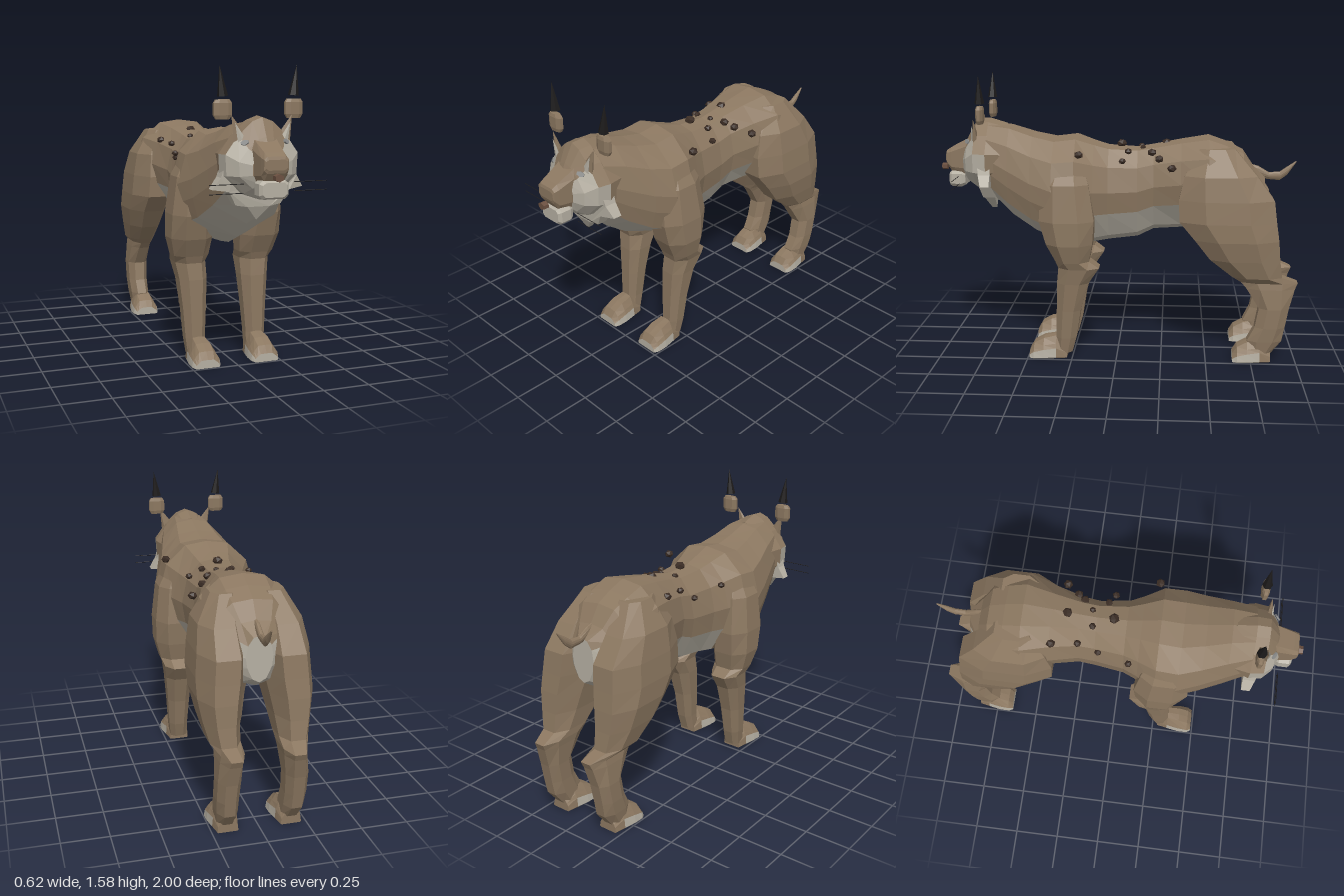
import * as THREE from 'three';

const material = (name, color) => {
  const m = new THREE.MeshStandardMaterial({ color });
  m.name = name;
  return m;
};

// Half cross-sections from top centre to bottom centre: [share of half width, share of height]
const BODY = [[0, 1], [0.45, 0.97], [0.85, 0.8], [1, 0.55], [0.9, 0.33], [0.5, 0.08], [0, 0]];
const CHEST = [[0, 1], [0.45, 0.97], [0.85, 0.8], [1, 0.55], [0.98, 0.38], [0.87, 0.2], [0, 0]];
const SKULL = [[0, 1], [0.28, 0.95], [0.65, 0.79], [1, 0.56], [0.97, 0.3], [0.5, 0.08], [0, 0]];
const BLOCK = [[0, 1], [0.75, 1], [1, 0.82], [1, 0.5], [1, 0.2], [0.75, 0], [0, 0]];
const PAW = [[0, 1], [0.5, 0.97], [0.78, 0.65], [0.93, 0.45], [1, 0.06], [0.9, 0], [0, 0]];

// Ring in the xy plane: [z, top, bottom, halfWidth], wound for lofting toward +z
const uprightRing = ([z, top, bottom, w], profile = BODY, cx = 0) => {
  const at = (u, v) => [cx + u * w, bottom + v * (top - bottom), z];
  return [...profile.map(([u, v]) => at(-u, v)), ...profile.slice(1, 6).reverse().map(([u, v]) => at(u, v))];
};

// Horizontal octagon: [y, frontZ, backZ, innerX, outerX], wound for lofting downward
const OCTAGON = [[1, -0.45], [1, 0.45], [0.5, 1], [-0.5, 1], [-1, 0.45], [-1, -0.45], [-0.5, -1], [0.5, -1]];
const legRing = ([y, zf, zb, xi, xo], side) => OCTAGON.map(([u, v]) => [
  side * (xi + xo) / 2 + u * (xo - xi) / 2, y, (zf + zb) / 2 + v * (zf - zb) / 2]);

// Faceted skin over rings; pick(ringIndex, band) chooses a material slot, -1 and rings-1 are the caps
function loft(name, rings, materials, pick = () => 0) {
  const buckets = materials.map(() => []);
  const n = rings[0].length, last = rings.length - 1;
  for (let i = 0; i < last; i++) {
    for (let j = 0; j < n; j++) {
      const k = (j + 1) % n, a = rings[i], b = rings[i + 1];
      buckets[pick(i, Math.min(j, n - 1 - j))].push(...a[j], ...a[k], ...b[k], ...a[j], ...b[k], ...b[j]);
    }
  }
  for (let j = 1; j < n - 1; j++) {
    const s = rings[0], e = rings[last];
    buckets[pick(-1, 0)].push(...s[0], ...s[j + 1], ...s[j]);
    buckets[pick(last, 0)].push(...e[0], ...e[j], ...e[j + 1]);
  }
  const g = new THREE.BufferGeometry();
  g.setAttribute('position', new THREE.Float32BufferAttribute(buckets.flat(), 3));
  let start = 0;
  buckets.forEach((b, i) => {
    g.addGroup(start, b.length / 3, i);
    start += b.length / 3;
  });
  g.computeVertexNormals();
  const mesh = new THREE.Mesh(g, materials);
  mesh.name = name;
  return mesh;
}

function part(name, geometry, mat, x, y, z) {
  const g = geometry.index ? geometry.toNonIndexed() : geometry;
  g.computeVertexNormals();
  const mesh = new THREE.Mesh(g, mat);
  mesh.name = name;
  mesh.position.set(x, y, z);
  return mesh;
}

export function createModel() {
  const model = new THREE.Group();
  model.name = 'wildCat';
  const fur = material('brown fur', 0x8b7760);
  const pale = material('pale fur', 0xb5afa2);
  const spotMat = material('dark spots', 0x3a2c24);
  const black = material('black tufts', 0x1c1a1a);
  const noseMat = material('nose', 0x6b5040);
  const eyeMat = material('grey eyes', 0x8a8b8a);
  const coat = [fur, pale];

  // Torso, with pale belly, chest and rump patch
  const torso = [
    [-0.815, 1.02, 0.78, 0.07], [-0.75, 1.08, 0.74, 0.17], [-0.69, 1.17, 0.73, 0.23], [-0.6, 1.215, 0.72, 0.255],
    [-0.5, 1.25, 0.72, 0.265], [-0.35, 1.225, 0.72, 0.21], [-0.2, 1.195, 0.71, 0.168], [-0.11, 1.18, 0.665, 0.165],
    [0.05, 1.19, 0.645, 0.188], [0.13, 1.215, 0.63, 0.225], [0.23, 1.25, 0.625, 0.28], [0.35, 1.235, 0.64, 0.285],
    [0.47, 1.26, 0.69, 0.25], [0.6, 1.3, 0.78, 0.21], [0.72, 1.31, 0.9, 0.175],
  ];
  model.add(loft('torso', torso.map(r => uprightRing(r, r[0] > 0.3 ? CHEST : BODY)), coat,
    (i, b) => (i < 0 || (i < 1 && b > 1) || (i < 9 && b >= 4) || b >= 5 ? 1 : 0)));

  // Head with pale cheeks, and a blunt brown muzzle
  const head = [[0.62, 1.305, 0.95, 0.18], [0.72, 1.335, 0.92, 0.2], [0.79, 1.33, 0.93, 0.19], [0.84, 1.24, 0.97, 0.14], [0.865, 1.19, 1.0, 0.08]];
  model.add(loft('head', head.map(r => uprightRing(r, SKULL)), coat, (i, b) => ((i === 1 && b >= 3) || (i > 1 && b >= 2) ? 1 : 0)));
  const muzzle = [[0.79, 1.25, 1.0, 0.085], [0.85, 1.215, 1.015, 0.075], [0.935, 1.172, 1.035, 0.067], [0.962, 1.155, 1.075, 0.063], [0.967, 1.14, 1.09, 0.055]];
  model.add(loft('muzzle', muzzle.map(r => uprightRing(r, BLOCK)), [fur]));

  // Jagged cheek ruff, thin at its tips and fuller toward the face
  const half = [[0.12, 1.15], [0.18, 1.11], [0.2, 1.04], [0.24, 0.98], [0.16, 0.97], [0.12, 0.9], [0.06, 0.89]];
  const outline = [...half, [0, 0.82], ...half.map(([x, y]) => [-x, y]).reverse()];
  const ruff = new THREE.ExtrudeGeometry(
    new THREE.Shape(outline.map(p => new THREE.Vector2(...p))), { depth: 1, bevelEnabled: false });
  const p = ruff.attributes.position;
  for (let i = 0; i < p.count; i++) {
    const rise = THREE.MathUtils.clamp((p.getY(i) - 0.8) / 0.2, 0, 1);
    p.setZ(i, p.getZ(i) * (0.015 + rise * (0.12 - Math.abs(p.getX(i)) * 0.35)));
  }
  model.add(part('cheekRuff', ruff, pale, 0, 0, 0.695));

  // Chin and nose
  const chin = [[0.86, 1.03, 0.96, 0.065], [0.88, 1.04, 0.95, 0.076], [0.935, 1.04, 0.95, 0.076], [0.95, 1.03, 0.96, 0.062]];
  model.add(loft('chin', chin.map(r => uprightRing(r, BLOCK)), [pale]));
  model.add(part('nose', new THREE.CylinderGeometry(0.024, 0.024, 0.03, 6).rotateX(Math.PI / 2).scale(1, 0.8, 1), noseMat, 0, 1.057, 0.985));

  // Short upturned tail, tip to base
  const tail = [
    [-0.99, 1.106, 1.098, 0.004], [-0.94, 1.073, 1.025, 0.013], [-0.9, 1.045, 0.995, 0.015],
    [-0.84, 1.04, 1.0, 0.015], [-0.78, 1.075, 1.01, 0.015], [-0.69, 1.1, 1.03, 0.015],
  ];
  model.add(loft('tail', tail.map(r => uprightRing(r)), [fur]));

  const frontLeg = [
    [1.14, 0.34, 0.2, 0.1, 0.21], [1.0, 0.41, 0.15, 0.1, 0.285], [0.8, 0.42, 0.12, 0.1, 0.31],
    [0.67, 0.385, 0.13, 0.08, 0.31], [0.57, 0.335, 0.15, 0.09, 0.285], [0.53, 0.32, 0.095, 0.1, 0.27],
    [0.44, 0.33, 0.155, 0.1, 0.255], [0.28, 0.335, 0.2, 0.11, 0.24], [0.12, 0.34, 0.225, 0.12, 0.23], [0.03, 0.34, 0.25, 0.12, 0.22],
  ];
  const hindLeg = [
    [1.19, -0.45, -0.64, 0.06, 0.19], [1.05, -0.37, -0.76, 0.05, 0.27], [0.92, -0.34, -0.855, 0.04, 0.29],
    [0.8, -0.345, -0.87, 0.05, 0.3], [0.7, -0.43, -0.885, 0.07, 0.3], [0.59, -0.515, -0.895, 0.09, 0.28],
    [0.49, -0.64, -0.91, 0.1, 0.255], [0.455, -0.69, -1.0, 0.1, 0.22], [0.42, -0.72, -0.985, 0.105, 0.225],
    [0.31, -0.79, -0.955, 0.115, 0.235], [0.2, -0.77, -0.935, 0.12, 0.235], [0.12, -0.73, -0.92, 0.12, 0.23], [0.03, -0.74, -0.85, 0.12, 0.22],
  ];
  // Paw sections: [z behind the toe tip, height, half width]
  const paw = [[-0.21, 0.07, 0.055], [-0.15, 0.13, 0.068], [-0.08, 0.115, 0.08], [-0.025, 0.085, 0.08], [0, 0.045, 0.068]];

  for (const side of [1, -1]) {
    const label = side > 0 ? 'left' : 'right';
    for (const [name, rows, toe] of [['Front', frontLeg, 0.49], ['Hind', hindLeg, -0.65]]) {
      model.add(loft(label + name + 'Leg', rows.map(r => legRing(r, side)), [fur]));
      model.add(loft(label + name + 'Paw', paw.map(([z, h, w]) => uprightRing([toe + z, h, 0, w], PAW, side * 0.168)),
        coat, (i, b) => ((i >= 1 && b >= 3) || b >= 5 || i === 4 ? 1 : 0)));
    }

    // Small ear with pale inner face
    const ear = new THREE.Group();
    ear.name = label + 'Ear';
    ear.position.set(side * 0.128, 1.265, 0.785);
    ear.rotation.z = -side * 0.38;
    ear.add(part('earBack', new THREE.ConeGeometry(0.052, 0.165, 5).scale(1, 1, 0.45), fur, 0, 0, 0));
    ear.add(part('earInner', new THREE.ConeGeometry(0.03, 0.12, 5).scale(1, 1, 0.4), pale, 0, -0.015, 0.014));
    model.add(ear);

    // Upper ear block and black tuft
    const block = [[1.415, 0.755, 0.725, 0.152, 0.222], [1.398, 0.76, 0.72, 0.141, 0.233], [1.34, 0.76, 0.72, 0.141, 0.233], [1.32, 0.755, 0.725, 0.152, 0.222]];
    model.add(loft(label + 'EarBlock', block.map(r => legRing(r, side)), [fur]));
    const tuft = part(label + 'EarTuft', new THREE.ConeGeometry(0.027, 0.15, 6), black, side * 0.194, 1.505, 0.74);
    tuft.rotation.z = -side * 0.11;
    model.add(tuft);

    // Eye
    const eye = part(label + 'Eye', new THREE.CylinderGeometry(0.022, 0.022, 0.008, 6).rotateX(Math.PI / 2).scale(1, 0.6, 1), eyeMat, side * 0.108, 1.213, 0.832);
    eye.rotation.set(-0.5, side * 0.6, 0);
    model.add(eye);

    // Whiskers
    for (const y of [1.022, 0.978]) {
      model.add(part(label + 'Whisker', new THREE.CylinderGeometry(0.002, 0.002, 0.175, 4).rotateZ(Math.PI / 2), black, side * 0.218, y, 0.88));
    }
  }

  // Spots on the back: [x, y, z, radius]
  const spots = [
    [0, 1.2, -0.27, 0.03], [0, 1.195, -0.02, 0.03], [-0.16, 1.14, -0.34, 0.026], [0.21, 1.09, -0.3, 0.026],
    [0.14, 1.13, -0.23, 0.026], [0.1, 1.16, -0.19, 0.026], [-0.05, 1.175, -0.13, 0.02], [0.04, 1.178, -0.14, 0.018],
    [-0.15, 1.06, -0.09, 0.021], [0.1, 1.165, -0.06, 0.021], [0.165, 1.12, -0.03, 0.021], [-0.14, 1.13, -0.2, 0.021],
    [-0.21, 1.1, 0.08, 0.02], [0.247, 1.165, 0.2, 0.026],
  ];
  spots.forEach(([x, y, z, r], i) => {
    const spot = part('spot', new THREE.IcosahedronGeometry(r, 0), spotMat, x, y, z);
    spot.scale.y = 0.85;
    spot.rotation.y = i * 0.7;
    model.add(spot);
  });

  return model;
}
